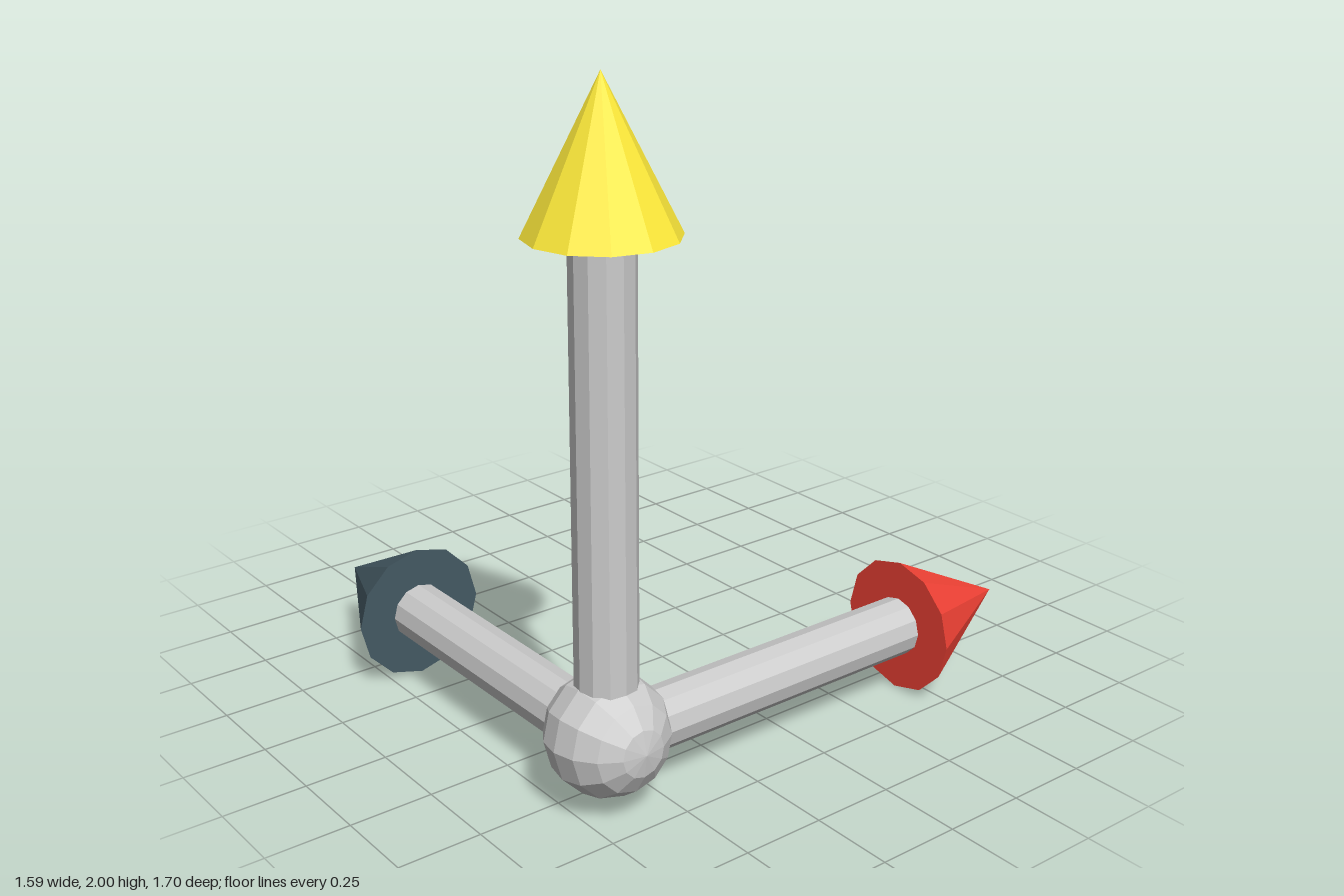
import * as THREE from 'three';

const SIDES = 12;
const SHAFT_RADIUS = 0.088;
const HEAD_RADIUS = 0.205;
const HEAD_LENGTH = 0.408;

function material(color) {
  return new THREE.MeshStandardMaterial({ color, flatShading: true });
}

// One arrow pointing along +y from its own origin
function makeArrow(name, shaftLength, color, grey) {
  const arrow = new THREE.Group();
  arrow.name = name;

  const shaft = new THREE.Mesh(
    new THREE.CylinderGeometry(SHAFT_RADIUS, SHAFT_RADIUS, shaftLength, SIDES), grey);
  shaft.name = name + 'Shaft';
  shaft.position.y = shaftLength / 2;

  const head = new THREE.Mesh(
    new THREE.ConeGeometry(HEAD_RADIUS, HEAD_LENGTH, SIDES), material(color));
  head.name = name + 'Head';
  head.position.y = shaftLength + HEAD_LENGTH / 2;

  arrow.add(shaft, head);
  return arrow;
}

export function createModel() {
  const model = new THREE.Group();
  model.name = 'axisArrows';
  const grey = material(0xcccccc);

  // Everything meets at the corner joint
  const corner = new THREE.Group();
  corner.name = 'corner';
  corner.position.set(0.588, 0.207, 0.647);
  model.add(corner);

  // Faceted ball with its poles roughly along x
  const ball = new THREE.Mesh(new THREE.SphereGeometry(0.175, 12, 8), grey);
  ball.name = 'cornerBall';
  ball.rotation.z = -Math.PI / 2 + 0.045;
  ball.position.y = 0.015;
  corner.add(ball);

  // Upright, sideways and backward arrows
  const up = makeArrow('upArrow', 1.385, 0xffeb3b, grey);
  const side = makeArrow('sideArrow', 0.973, 0x455a64, grey);
  side.rotation.z = Math.PI / 2;
  const back = makeArrow('backArrow', 1.09, 0xf44336, grey);
  back.rotation.x = -Math.PI / 2;
  corner.add(up, side, back);

  return model;
}
